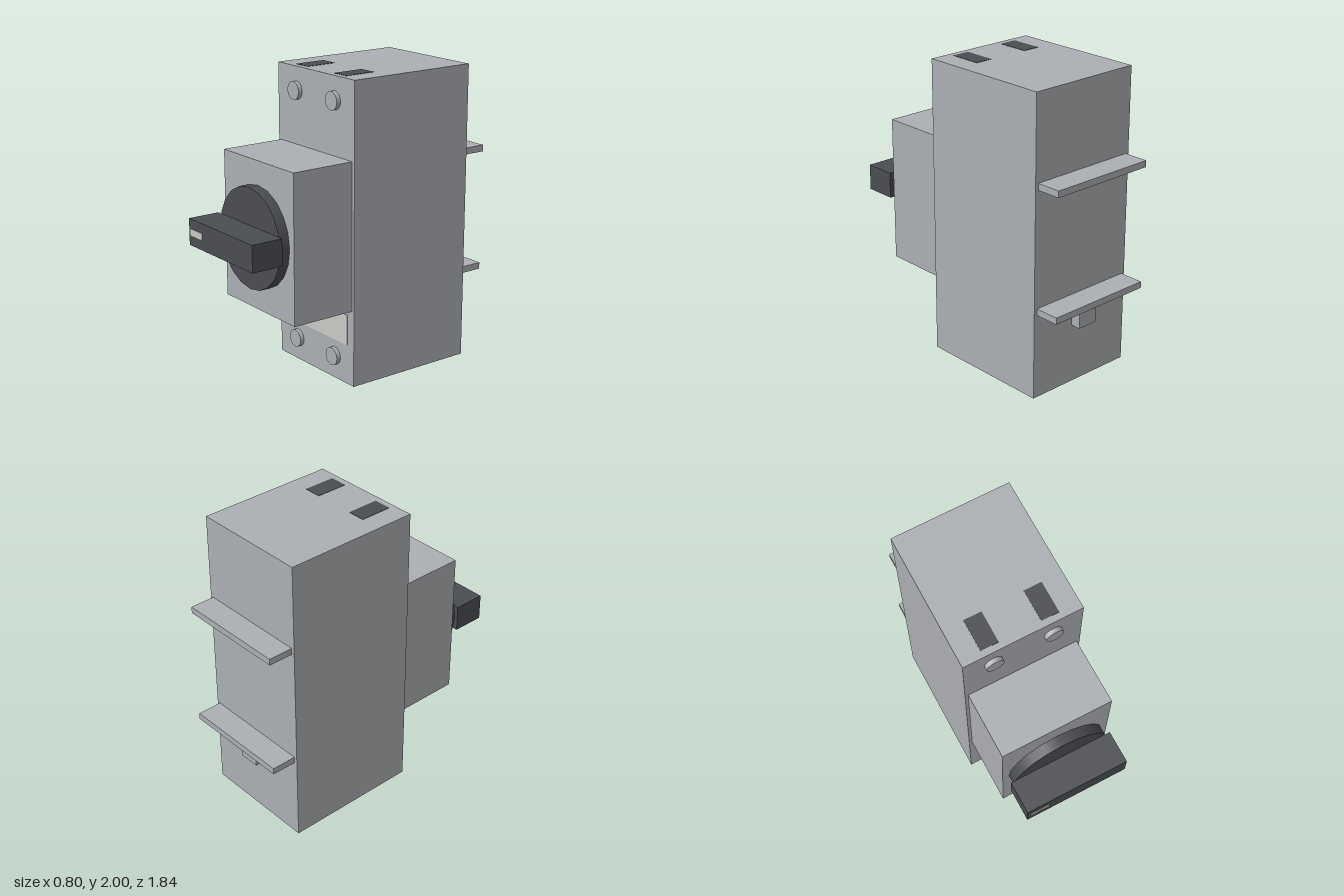
import * as THREE from 'three';

export function createModel() {
  const group = new THREE.Group();
  const material = (name, color) => {
    const m = new THREE.MeshStandardMaterial({ color });
    m.name = name;
    return m;
  };
  const housing = material('grey housing', 0xabaeb3);
  const dark = material('dark grey', 0x4a4d52);
  const pale = material('pale label', 0xcac9c4);

  const add = (name, geometry, mat) => {
    const mesh = new THREE.Mesh(geometry, mat);
    mesh.name = name;
    group.add(mesh);
    return mesh;
  };
  // Box given by its extents along each axis
  const box = (name, mat, [x0, x1], [y0, y1], [z0, z1]) =>
    add(name, new THREE.BoxGeometry(x1 - x0, y1 - y0, z1 - z0), mat)
      .position.set((x0 + x1) / 2, (y0 + y1) / 2, (z0 + z1) / 2);
  // Disc facing the front
  const disc = (name, mat, r, x, y, z0, z1) =>
    add(name, new THREE.CylinderGeometry(r, r, z1 - z0, 20).rotateX(Math.PI / 2), mat)
      .position.set(x, y, (z0 + z1) / 2);

  // Housing with raised front block
  box('body', housing, [-0.4, 0.4], [0, 2], [-0.75, 0.18]);
  box('frontBlock', housing, [-0.378, 0.378], [0.51, 1.49], [0.18, 0.625]);

  // Rotary switch
  disc('knobDisc', dark, 0.333, 0, 1, 0.625, 0.695);
  box('knobHandle', dark, [-0.355, 0.355], [0.912, 1.088], [0.695, 0.914]);
  box('pointerMark', pale, [-0.335, -0.2], [0.98, 1.024], [0.913, 0.918]);

  // Name plate
  box('label', pale, [-0.333, 0.333], [0.267, 0.472], [0.179, 0.184]);

  // Terminal screws and cable openings
  for (const x of [-0.2, 0.2]) {
    for (const y of [0.155, 1.845]) disc('terminalScrew', housing, 0.06, x, y, 0.18, 0.209);
    box('topCableSlot', dark, [x - 0.06, x + 0.06], [1.998, 2.002], [-0.08, 0.137]);
    box('bottomCableSlot', dark, [x - 0.06, x + 0.06], [-0.002, 0.002], [-0.08, 0.137]);
  }

  // Rear mounting rails and latch
  for (const y of [0.572, 1.392])
    box('mountingRail', housing, [-0.378, 0.378], [y, y + 0.044], [-0.918, -0.75]);
  box('railLatch', housing, [-0.073, 0.073], [0.4, 0.572], [-0.818, -0.75]);

  return group;
}
